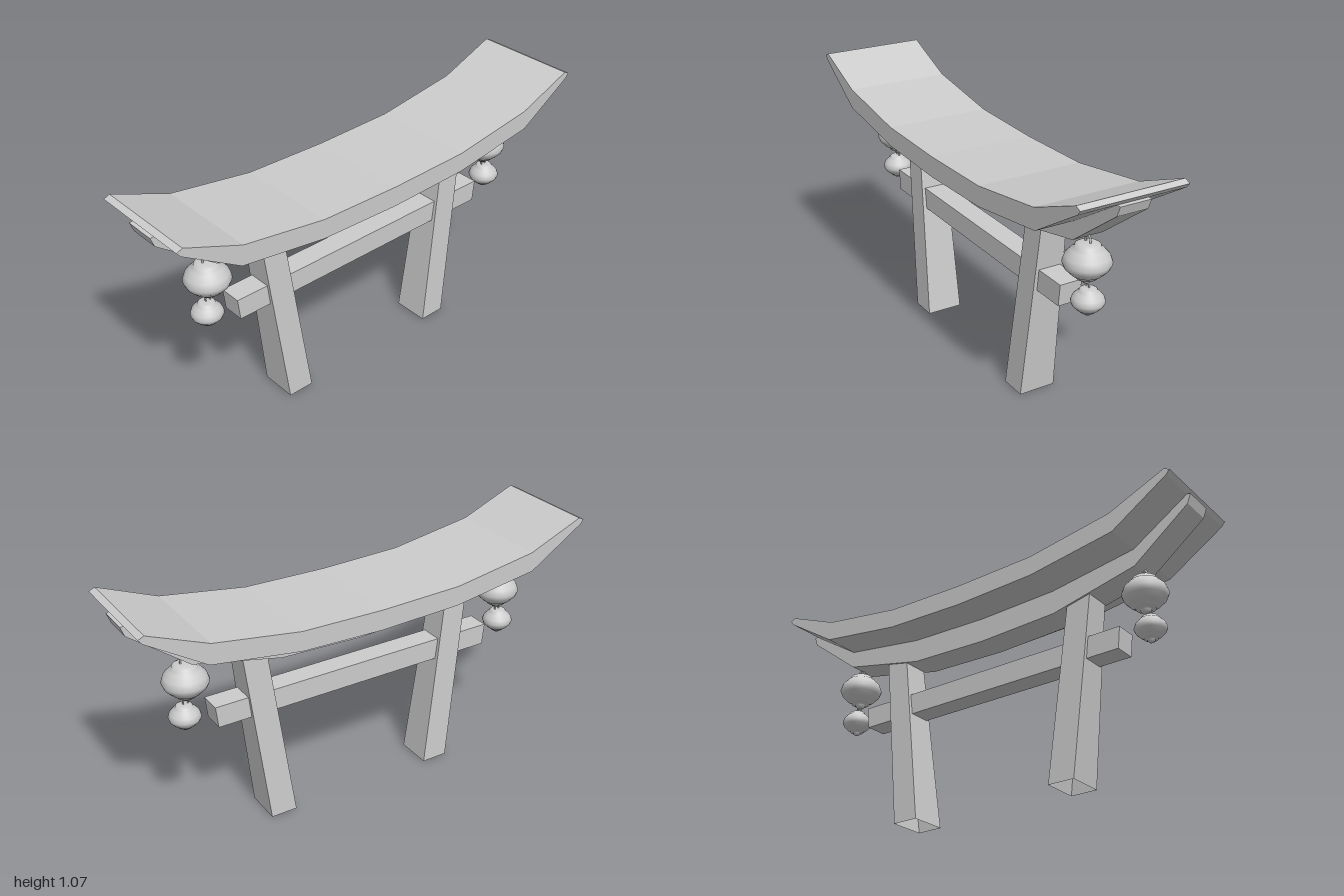
import * as THREE from 'three';

const flat = new THREE.MeshStandardMaterial({ color: 0xcccccc, flatShading: true });
const hollow = new THREE.MeshStandardMaterial({ color: 0xcccccc, flatShading: true, side: THREE.DoubleSide });
const smooth = new THREE.MeshStandardMaterial({ color: 0xcccccc, side: THREE.DoubleSide });

function part(name, geometry, material, parent) {
  const mesh = new THREE.Mesh(geometry, material);
  mesh.name = name;
  parent.add(mesh);
  return mesh;
}

// Symmetric curved bar: half outline from top centre round the tip to bottom centre, extruded along z
function curvedBar(half, depth) {
  const mirrored = half.map(([x, y]) => [-x, y]).reverse();
  const points = [...half, ...mirrored].map(([x, y]) => new THREE.Vector2(x, y));
  return new THREE.ExtrudeGeometry(new THREE.Shape(points), { depth, bevelEnabled: false })
    .translate(0, 0, -depth / 2);
}

// Leaning, tapering square post, open at top and bottom
function postGeometry(side) {
  const height = 0.8;
  const geo = new THREE.CylinderGeometry(Math.SQRT1_2, Math.SQRT1_2, height, 4, 1, true);
  geo.rotateY(Math.PI / 4).translate(0, height / 2, 0);
  const p = geo.attributes.position;
  for (let i = 0; i < p.count; i++) {
    const t = p.getY(i) / height;
    const x = p.getX(i) * (0.115 - 0.011 * t) + side * (0.383 + 0.097 * t);
    p.setXYZ(i, x, p.getY(i), p.getZ(i) * (0.158 - 0.046 * t));
  }
  return geo;
}

// Round lantern: cap, bulging body, foot and finial, centred on its widest line
function lanternGeometry(scale) {
  const profile = [[0, -0.085], [0.014, -0.083], [0.022, -0.073], [0.022, -0.066], [0.04, -0.064],
    [0.042, -0.056], [0.062, -0.045], [0.084, -0.022], [0.093, 0], [0.084, 0.026],
    [0.062, 0.05], [0.05, 0.058], [0.048, 0.068], [0.034, 0.076], [0, 0.078]];
  return new THREE.LatheGeometry(profile.map(([r, y]) => new THREE.Vector2(r * scale, y * scale)), 28);
}

export function createModel() {
  const gate = new THREE.Group();
  gate.name = 'gate';

  // Wide upswept roof and the narrower beam under it
  part('roof', curvedBar([[0, 0.902], [0.36, 0.91], [0.73, 0.967], [0.975, 1.067], [1, 1.056],
    [0.985, 1.037], [0.74, 0.882], [0.36, 0.826], [0, 0.815]], 0.45), flat, gate);
  part('roofBeam', curvedBar([[0, 0.83], [0.36, 0.84], [0.74, 0.895], [0.975, 1.038], [1, 1.035],
    [0.985, 0.995], [0.74, 0.808], [0.36, 0.724], [0, 0.711]], 0.13), flat, gate);

  // Crossbar with slightly undercut ends
  const bar = new THREE.BoxGeometry(1.3, 0.092, 0.096).translate(0, 0.536, 0);
  const p = bar.attributes.position;
  for (let i = 0; i < p.count; i++) {
    if (p.getY(i) < 0.536) p.setX(i, p.getX(i) * 0.985);
  }
  part('crossbar', bar, flat, gate);

  for (const side of [1, -1]) {
    part(side > 0 ? 'leftPost' : 'rightPost', postGeometry(side), hollow, gate);

    // Two lanterns hung one under the other
    const lanterns = new THREE.Group();
    lanterns.name = side > 0 ? 'leftLanterns' : 'rightLanterns';
    gate.add(lanterns);
    part('upperLantern', lanternGeometry(1), smooth, lanterns).position.set(side * 0.744, 0.71, 0);
    part('lowerLantern', lanternGeometry(0.7), smooth, lanterns).position.set(side * 0.758, 0.557, 0);

    // Hanging rings
    const ring = new THREE.TorusGeometry(0.015, 0.004, 8, 20);
    const top = part('upperRing', ring, smooth, lanterns);
    top.position.set(side * 0.744, 0.793, 0);
    top.scale.y = 1.4;
    const link = part('lowerRing', ring, smooth, lanterns);
    link.position.set(side * 0.751, 0.617, 0);
    link.scale.set(0.7, 1, 1);
  }
  return gate;
}
